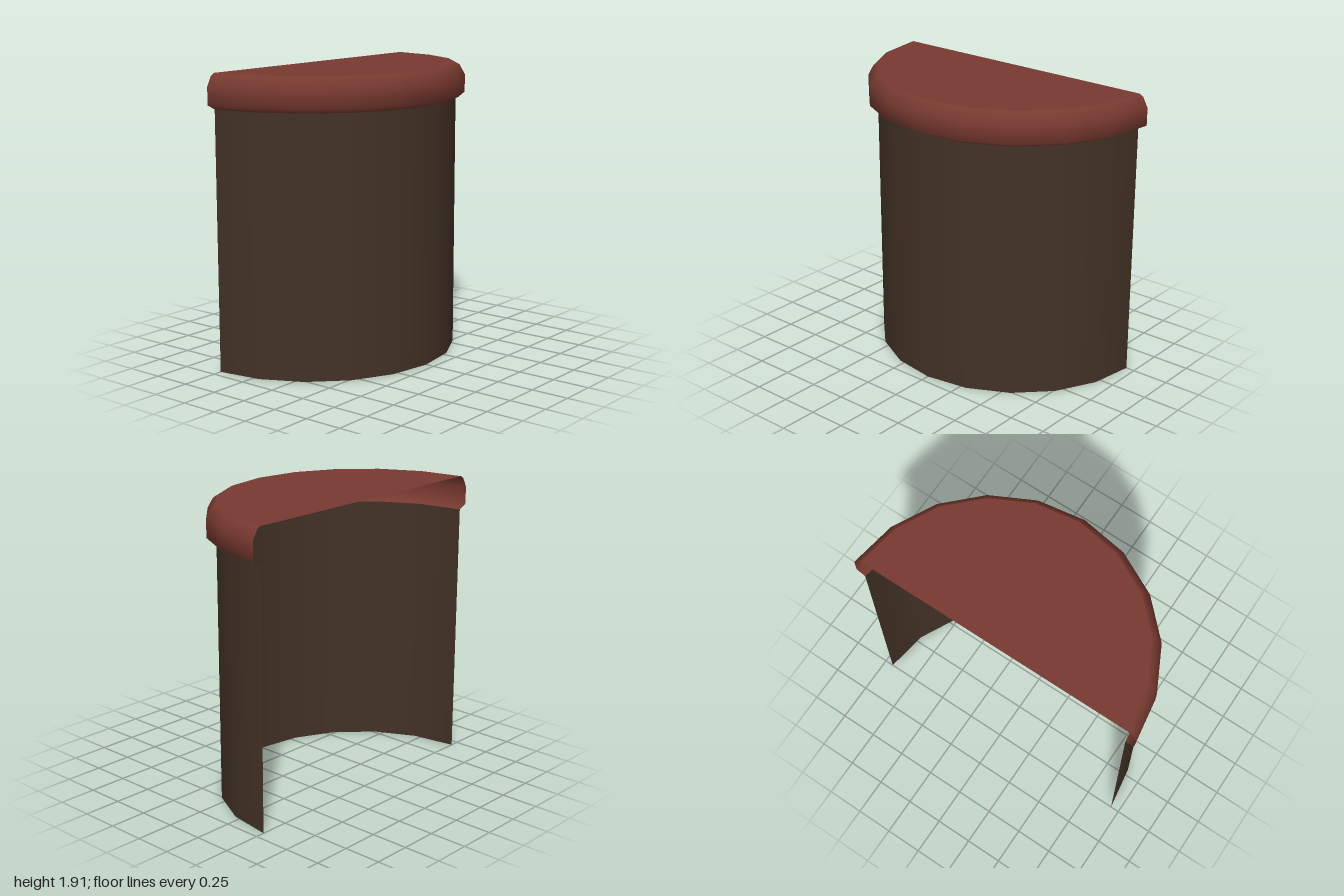
import * as THREE from 'three';

const SEGMENTS = 10;
const BACK = -0.5; // z of the open, flat back

const wallMaterial = new THREE.MeshStandardMaterial({ color: 0x433226, side: THREE.DoubleSide });
wallMaterial.name = 'dark brown';
const lidMaterial = new THREE.MeshStandardMaterial({ color: 0x783a30, side: THREE.DoubleSide });
lidMaterial.name = 'brick red';

// Half-turn shell swept from [radius, height] pairs, bulging towards +z
function halfLathe(name, profile, material) {
  const points = profile.map(([r, y]) => new THREE.Vector2(r, y));
  const geometry = new THREE.LatheGeometry(points, SEGMENTS, -Math.PI / 2, Math.PI);
  const mesh = new THREE.Mesh(geometry, material);
  mesh.name = name;
  mesh.position.z = BACK;
  return mesh;
}

export function createModel() {
  const group = new THREE.Group();
  group.name = 'halfRoundStand';

  // Open curved wall
  group.add(halfLathe('wall', [[0.94, 0], [0.94, 1.69]], wallMaterial));

  // Rounded rim overhanging the wall, hollow and open at the back
  group.add(halfLathe('rim', [
    [0.94, 1.69], [1, 1.72], [1, 1.835], [0.965, 1.9], [0.94, 1.915],
  ], lidMaterial));

  // Flat half-disc top
  const disc = new THREE.CircleGeometry(0.94, SEGMENTS, Math.PI, Math.PI);
  disc.rotateX(-Math.PI / 2);
  const top = new THREE.Mesh(disc, lidMaterial);
  top.name = 'top';
  top.position.set(0, 1.915, BACK);
  group.add(top);

  return group;
}
